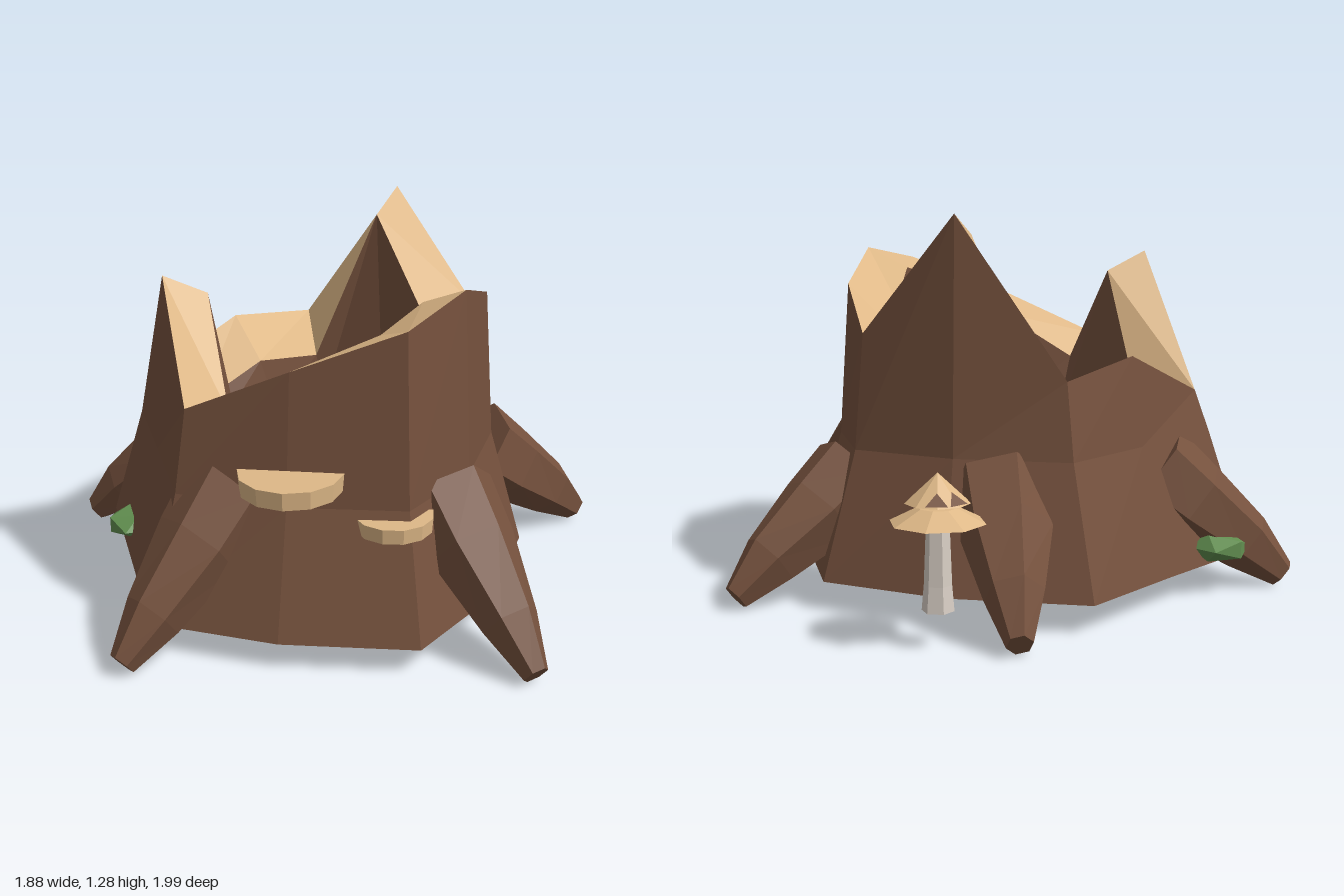
import * as THREE from 'three';

const V = (x, y, z) => new THREE.Vector3(x, y, z);
const mat = (name, color, side = THREE.FrontSide) =>
  Object.assign(new THREE.MeshStandardMaterial({ color, flatShading: true, side }), { name });

// Faces joining two loops of points
function strip(a, b, out) {
  const n = a.length;
  const tri = (p, q, r) => {
    if (p.equals(q) || q.equals(r) || p.equals(r)) return;
    for (const v of [p, q, r]) out.push(v.x, v.y, v.z);
  };
  for (let i = 0; i < n; i++) {
    const j = (i + 1) % n;
    tri(a[i], a[j], b[j]);
    tri(a[i], b[j], b[i]);
  }
}

function loft(loops) {
  const pos = [];
  for (let i = 0; i + 1 < loops.length; i++) strip(loops[i], loops[i + 1], pos);
  const g = new THREE.BufferGeometry();
  g.setAttribute('position', new THREE.Float32BufferAttribute(pos, 3));
  g.computeVertexNormals();
  return g;
}

export function createModel() {
  const model = new THREE.Group();
  model.name = 'treeStump';
  const bark = mat('bark brown', 0x75513d, THREE.DoubleSide);
  const wood = mat('cut wood tan', 0xdeb887, THREE.DoubleSide);
  const moss = mat('moss green', 0x628f50);
  const stemMat = mat('stem pale grey', 0xd8cec4);

  const add = (name, geo, material, x = 0, y = 0, z = 0, parent = model) => {
    const m = new THREE.Mesh(geo, material);
    m.name = name;
    m.position.set(x, y, z);
    parent.add(m);
    return m;
  };

  // Jagged rim of the hollow trunk, outer and inner edge
  const rim = [
    [-0.04, 0.77, -0.66], [0.265, 1.29, -0.47], [0.49, 0.90, -0.22], [0.44, 1.04, 0.11],
    [0.27, 1.15, 0.42], [0.02, 1.10, 0.645], [-0.33, 0.96, 0.54], [-0.64, 0.80, 0.37],
    [-0.66, 1.14, 0.01], [-0.68, 0.67, -0.34], [-0.35, 0.82, -0.50],
  ].map(p => V(...p));
  const innerRim = [
    [-0.06, 0.67, -0.41], [0.155, 1.22, -0.335], [0.295, 0.85, -0.09], [0.26, 0.97, 0.12],
    [0.16, 1.08, 0.30], [-0.02, 1.03, 0.455], [-0.26, 0.89, 0.40], [-0.485, 0.73, 0.27],
    [-0.51, 1.07, 0.01], [-0.52, 0.58, -0.24], [-0.285, 0.69, -0.335],
  ].map(p => V(...p));
  const ring = (k, y) => rim.map(p => V(p.x * k, y, p.z * k));
  const foot = rim.map(p => V(p.x * (p.x > 0 ? 1.33 : 1.24), 0.1, p.z * 1.29));

  add('trunkOuter', loft([rim, ring(1.07, 0.52), foot]), bark);
  add('trunkRim', loft([innerRim, rim]), wood);
  add('trunkInner', loft([ring(0.66, 0.5), innerRim]), bark);
  add('hollowFloor', new THREE.ConeGeometry(0.38, 0.05, 12), bark, -0.125, 0.535, 0);

  // Roots: broad at the trunk, tapering down to the ground
  const roots = [ // base x, z, tip x, z, extra height at the base
    [0.47, -0.06, 0.93, -0.175, 0], [0.2, 0.48, 0.37, 0.98, 0.07], [-0.5, 0.37, -0.91, 0.62, 0.1],
    [-0.49, -0.39, -0.92, -0.575, 0.01], [0.12, -0.51, 0.25, -0.975, 0.02],
  ];
  const profile = [ // distance along, height, half width, half thickness
    [0, 0.405, 0.165, 0.165], [0.3, 0.295, 0.15, 0.145], [0.7, 0.155, 0.095, 0.105], [0.97, 0.045, 0.042, 0.05],
  ];
  for (const [bx, bz, tx, tz, up] of roots) {
    const dir = V(tx - bx, 0, tz - bz).normalize();
    const axis = dir.clone().multiplyScalar(0.78).add(V(0, -0.62, 0)).normalize();
    const side = V(0, 1, 0).cross(dir).normalize();
    const normal = axis.clone().cross(side).normalize();
    const centres = profile.map(([t, y]) =>
      V(bx + (tx - bx) * t, y + up * Math.max(0, 1 - 1.2 * t), bz + (tz - bz) * t));
    const loops = profile.map(([, , w, h], s) => Array.from({ length: 6 }, (_, i) => {
      const a = i * Math.PI / 3 + 0.3;
      return centres[s].clone().addScaledVector(side, w * Math.cos(a)).addScaledVector(normal, h * Math.sin(a));
    }));
    const start = Array(6).fill(centres[0]);
    const end = Array(6).fill(centres[3]);
    add('root', loft([start, ...loops, end]), bark);
  }

  // Half-round shelf fungi on the front
  const shelf = (r, h, x, y, z, turn) => {
    const geo = new THREE.CylinderGeometry(r, r * 0.97, h, 6, 1, false, -Math.PI / 2, Math.PI);
    add('shelfFungus', geo, wood, x, y, z).rotation.y = turn;
  };
  shelf(0.17, 0.06, -0.34, 0.62, 0.59, -0.33);
  shelf(0.13, 0.05, -0.015, 0.465, 0.63, 0);

  // Mushroom at the back
  const mushroom = new THREE.Group();
  mushroom.name = 'mushroom';
  mushroom.position.set(0.435, 0, -0.78);
  model.add(mushroom);
  const P = (x, y) => new THREE.Vector2(x, y);
  add('mushroomStem', new THREE.LatheGeometry([P(0, 0.12), P(0.05, 0.12), P(0.043, 0.2), P(0.035, 0.41)], 6),
    stemMat, 0, 0, 0, mushroom);
  add('mushroomCap', new THREE.ConeGeometry(0.1, 0.09, 9), wood, 0, 0.495, 0, mushroom);
  add('mushroomBrim', new THREE.LatheGeometry([P(0, 0.40), P(0.148, 0.39), P(0.06, 0.435), P(0, 0.44)], 8),
    wood, 0, 0, 0, mushroom).rotation.y = 0.2;
  // Dark flecks on the cap
  for (const a of [-0.38, 0.38]) {
    const at = (r, t) => V(Math.sin(t) * r, 0.546 - 0.9 * r, -Math.cos(t) * r);
    const fleck = new THREE.BufferGeometry().setFromPoints([at(0.1, a - 0.34), at(0.062, a), at(0.1, a + 0.34)]);
    fleck.computeVertexNormals();
    add('capFleck', fleck, bark, 0, 0, 0, mushroom);
  }

  // Moss clumps around the foot
  const clumps = [
    [-0.67, 0.16, -0.54, 0.11], [-0.785, 0.17, -0.16, 0.11], [-0.62, 0.16, -0.35, 0.115],
    [-0.5, 0.16, -0.28, 0.1], [-0.55, 0.16, -0.13, 0.12],
  ];
  clumps.forEach(([x, y, z, r], i) => {
    const m = add('mossClump', new THREE.IcosahedronGeometry(r), moss, x, y, z);
    m.scale.y = 0.5;
    m.rotation.y = 0.4 + i * 1.3;
  });
  return model;
}
